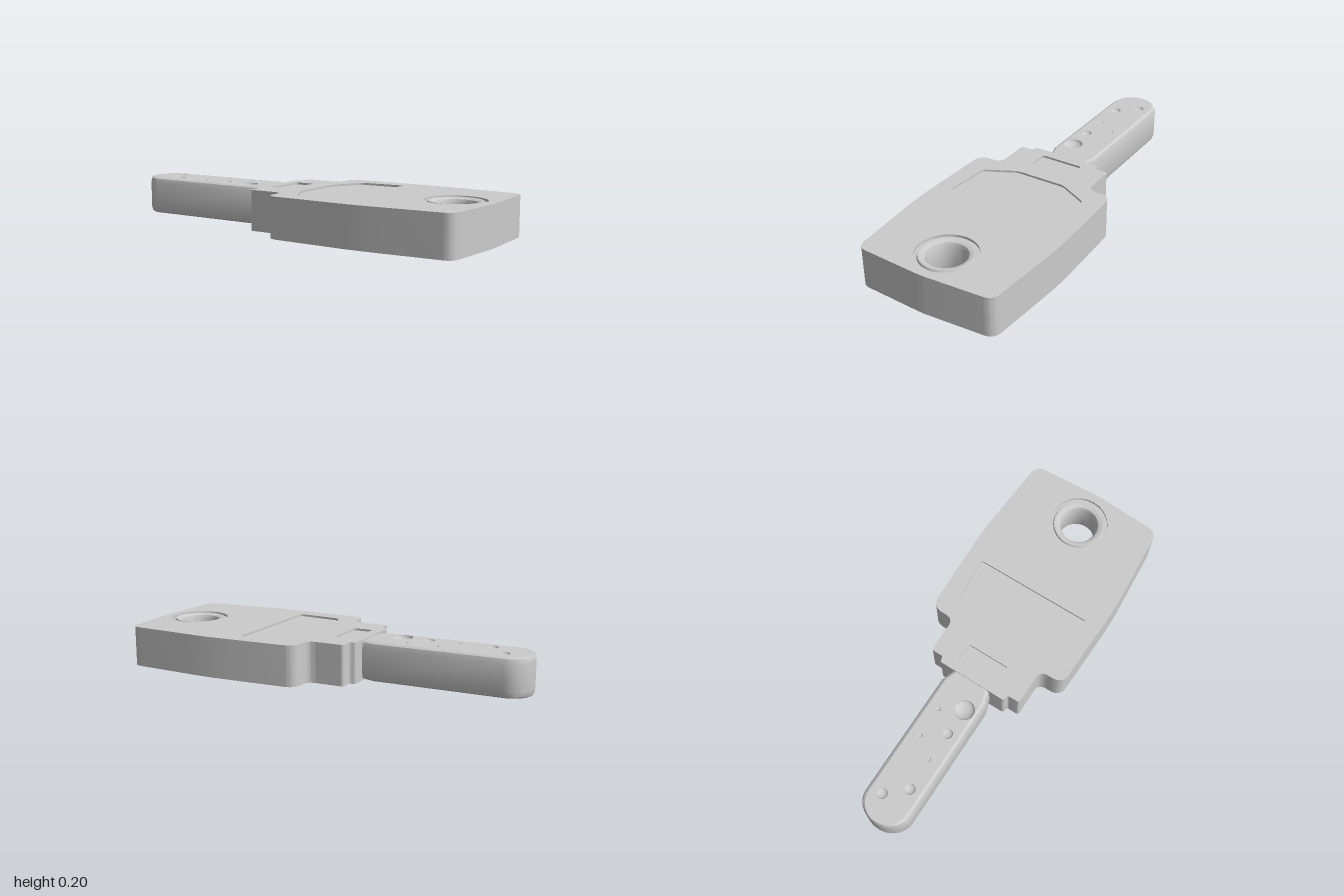
import * as THREE from 'three';
import { mergeGeometries, toCreasedNormals } from 'three/addons/utils/BufferGeometryUtils.js';

const H = 0.2;          // full thickness
const SKIN = 0.01;      // depth of the recesses in both faces
const HOLE = { x: 0.81, r: 0.09, rim: 0.145 };
const BLADE_Z = -0.005;
const material = new THREE.MeshStandardMaterial({ color: 0xcccccc });

// Closed outline from [x, y, cornerRadius], corners rounded
function rounded(points, Type = THREE.Shape) {
  const path = new Type();
  const n = points.length;
  points.forEach(([x, y, r], i) => {
    const p = new THREE.Vector2(x, y);
    const toward = ([a, b]) => new THREE.Vector2(a, b).sub(p).setLength(r).add(p);
    const s = toward(points[(i + n - 1) % n]);
    const e = toward(points[(i + 1) % n]);
    if (i === 0) path.moveTo(s.x, s.y); else path.lineTo(s.x, s.y);
    path.quadraticCurveTo(x, y, e.x, e.y);
  });
  path.closePath();
  return path;
}

// Mirror half an outline across the long axis
const mirrored = (half) => [...half, ...half.map(([x, y, r]) => [x, -y, r]).reverse()];

function circle(x, y, r) {
  return new THREE.Path().absarc(x, y, r, 0, Math.PI * 2, true);
}

// Horizontal slab between two heights
function slab(shape, y0, y1) {
  const g = new THREE.ExtrudeGeometry(shape, { depth: y1 - y0, bevelEnabled: false, curveSegments: 14 });
  g.rotateX(-Math.PI / 2).translate(0, y0, 0);
  return toCreasedNormals(g, 0.5);
}

// Copy of a geometry turned over to the lower face
function flipped(geometry) {
  const g = geometry.index ? geometry.toNonIndexed() : geometry.clone();
  for (const name of ['position', 'normal', 'uv']) {
    const a = g.attributes[name];
    if (!a) continue;
    for (let i = 0; i < a.count; i += 3) {
      for (let k = 0; k < a.itemSize; k++) {
        const t = a.getComponent(i + 1, k);
        a.setComponent(i + 1, k, a.getComponent(i + 2, k));
        a.setComponent(i + 2, k, t);
      }
    }
  }
  g.scale(1, -1, 1).translate(0, H, 0);
  return g;
}

function add(group, name, geometry) {
  const mesh = new THREE.Mesh(geometry, material);
  mesh.name = name;
  group.add(mesh);
}

function headShape() {
  return rounded(mirrored([
    [0.998, 0.02, 0.01], [0.978, 0.357, 0.05], [0.51, 0.39, 0.1], [0.03, 0.375, 0.06],
    [0.03, 0.25, 0.045], [-0.16, 0.25, 0.015], [-0.16, 0.187, 0.008], [-0.19, 0.18, 0.012],
  ]));
}

function buildHead() {
  const head = new THREE.Group();
  head.name = 'head';

  // Solid middle
  const core = headShape();
  core.holes.push(circle(HOLE.x, 0, HOLE.rim));
  add(head, 'headCore', slab(core, SKIN, H - SKIN));

  // Face plates with sunken panels
  const face = headShape();
  face.holes.push(
    circle(HOLE.x, 0, HOLE.rim),
    rounded(mirrored([[0.37, 0.305, 0.02], [0.14, 0.285, 0.02], [0.06, 0.13, 0.02]]), THREE.Path),
    rounded(mirrored([[-0.04, 0.11, 0.012], [-0.14, 0.11, 0.012]]), THREE.Path),
  );
  const plate = slab(face, H - SKIN, H);
  add(head, 'topFace', plate);
  add(head, 'bottomFace', flipped(plate));

  // Eyelet with a groove around each rim
  const rim = [[HOLE.rim, 0.188], [0.13, 0.188], [0.126, 0.198], [0.113, 0.198], [0.098, 0.19], [HOLE.r, 0.172]];
  const profile = [...rim, ...rim.map(([r, y]) => [r, H - y]).reverse()];
  const eyelet = new THREE.LatheGeometry(profile.map(([r, y]) => new THREE.Vector2(r, y)), 48);
  eyelet.translate(HOLE.x, 0, 0);
  add(head, 'eyelet', toCreasedNormals(eyelet, 0.5));
  return head;
}

// Blade outline, drawn in by an inset
function bladeOutline(inset) {
  const w = 0.125 - inset;
  const neck = 0.105 - inset;
  const pts = [[-0.16, neck], [-0.195, neck], [-0.25, w]];
  for (let i = 0; i <= 24; i++) {
    const a = Math.PI * (0.5 + i / 24);
    pts.push([-0.89 + (0.11 - 0.3 * inset) * Math.cos(a), w * Math.sin(a)]);
  }
  pts.push([-0.25, -w], [-0.195, -neck], [-0.16, -neck]);
  return pts.map(([x, y]) => new THREE.Vector2(x, y));
}

function buildBlade() {
  const blade = new THREE.Group();
  blade.name = 'blade';
  blade.position.z = BLADE_Z;
  const top = 0.195;

  // Side wall with softened edges: [inset, height]
  const half = [[0.02, H - top], [0.008, 0.012], [0, 0.035]];
  const rings = [...half, ...half.map(([i, y]) => [i, H - y]).reverse()];
  const position = [];
  const index = [];
  const n = bladeOutline(0).length;
  rings.forEach(([inset, y], j) => {
    bladeOutline(inset).forEach((p, i) => {
      position.push(p.x, y, -p.y);
      if (j === rings.length - 1) return;
      const a = j * n + i;
      const b = j * n + (i + 1) % n;
      index.push(a, b, b + n, a, b + n, a + n);
    });
  });
  const wall = new THREE.BufferGeometry();
  wall.setAttribute('position', new THREE.Float32BufferAttribute(position, 3));
  wall.setIndex(index);
  add(blade, 'bladeSides', toCreasedNormals(wall, 0.6));

  // Dimples: [x, z, radius]
  const dimples = [
    [-0.87, -0.045, 0.026], [-0.785, 0.052, 0.026], [-0.62, 0.047, 0.01], [-0.545, -0.052, 0.012],
    [-0.47, 0.052, 0.025], [-0.39, -0.052, 0.012], [-0.33, 0.055, 0.05],
  ];
  const flat = new THREE.Shape(bladeOutline(0.02));
  const bowls = [];
  for (const [x, z, r] of dimples) {
    flat.holes.push(circle(x, -z, r));
    const profile = [];
    for (let i = 0; i <= 6; i++) {
      const a = (i / 6) * Math.PI / 2;
      profile.push(new THREE.Vector2(r * Math.cos(a), -0.5 * r * Math.sin(a)));
    }
    bowls.push(new THREE.LatheGeometry(profile, 28).translate(x, top, z));
  }
  const cap = new THREE.ShapeGeometry(flat, 14).rotateX(-Math.PI / 2).translate(0, top, 0);
  const cups = mergeGeometries(bowls);
  add(blade, 'bladeTop', cap);
  add(blade, 'bladeBottom', flipped(cap));
  add(blade, 'topDimples', cups);
  add(blade, 'bottomDimples', flipped(cups));
  return blade;
}

export function createModel() {
  const model = new THREE.Group();
  model.name = 'dimpleKey';
  model.add(buildHead(), buildBlade());
  return model;
}
